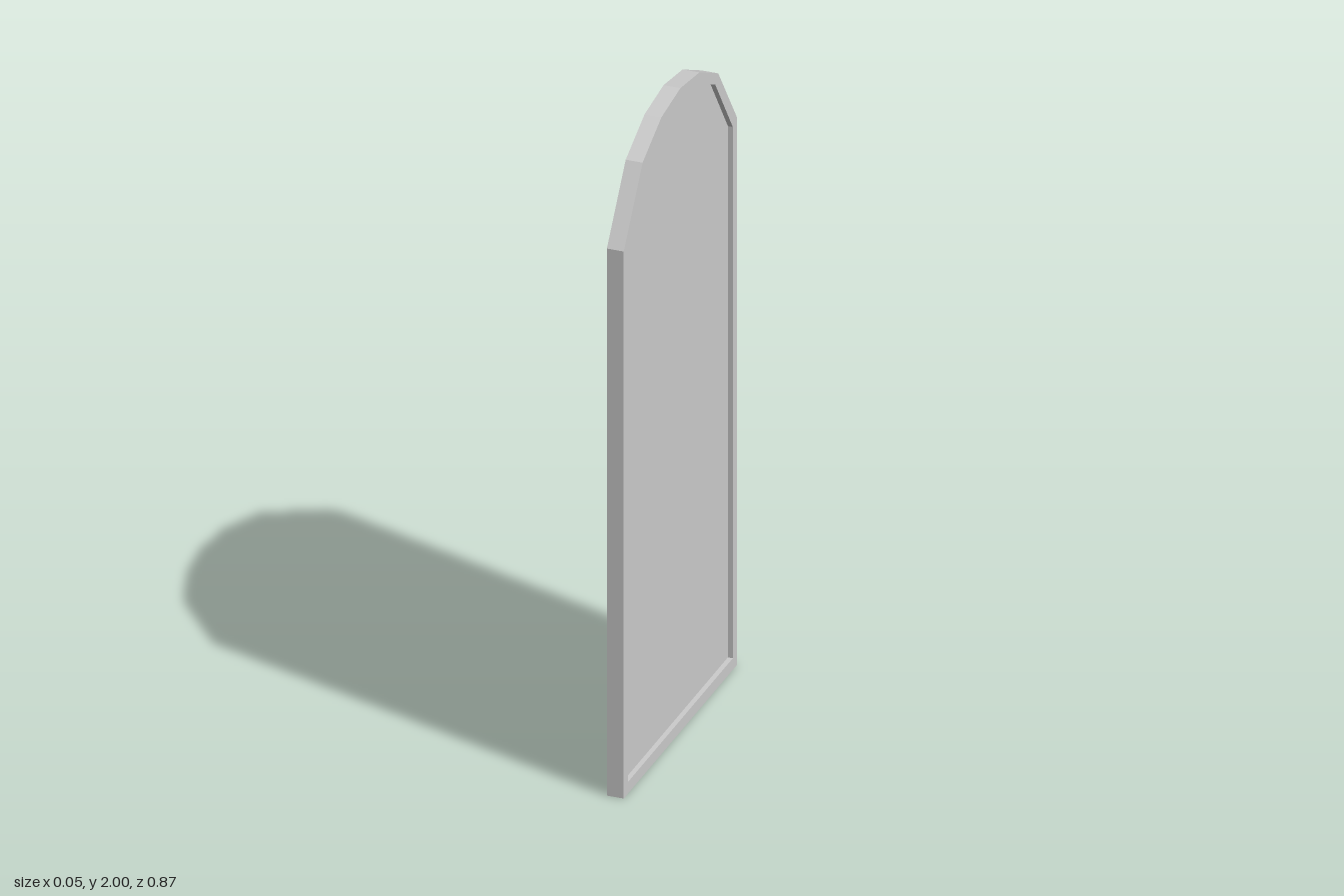
import * as THREE from 'three';

// Half outlines of the arch, from the foot up to the peak
const OUTER = [[0.433, 0], [0.433, 1.7], [0.289, 1.907], [0.145, 1.979], [0, 2]];
const INNER = [[0.4, 0.036], [0.4, 1.687], [0.265, 1.884], [0.135, 1.947], [0, 1.968]];

// Mirror a half outline into a closed loop of points
function mirrored(half) {
  const other = half.slice(0, -1).reverse().map(([x, y]) => [-x, y]);
  return [...half, ...other].map(([x, y]) => new THREE.Vector2(x, y));
}

// Extrude a shape, centre its thickness and turn it to face the x axis
function slab(name, shape, depth, material) {
  const geometry = new THREE.ExtrudeGeometry(shape, { depth, bevelEnabled: false });
  geometry.translate(0, 0, -depth / 2).rotateY(-Math.PI / 2);
  const mesh = new THREE.Mesh(geometry, material);
  mesh.name = name;
  return mesh;
}

export function createModel() {
  const group = new THREE.Group();
  group.name = 'archedPanel';
  const material = new THREE.MeshStandardMaterial({ color: 0xcccccc, flatShading: true });

  // Raised rim around the arch
  const rim = new THREE.Shape(mirrored(OUTER));
  rim.holes.push(new THREE.Path(mirrored(INNER)));
  group.add(slab('frame', rim, 0.05, material));

  // Pane recessed on both faces
  group.add(slab('pane', new THREE.Shape(mirrored(INNER)), 0.021, material));

  return group;
}
